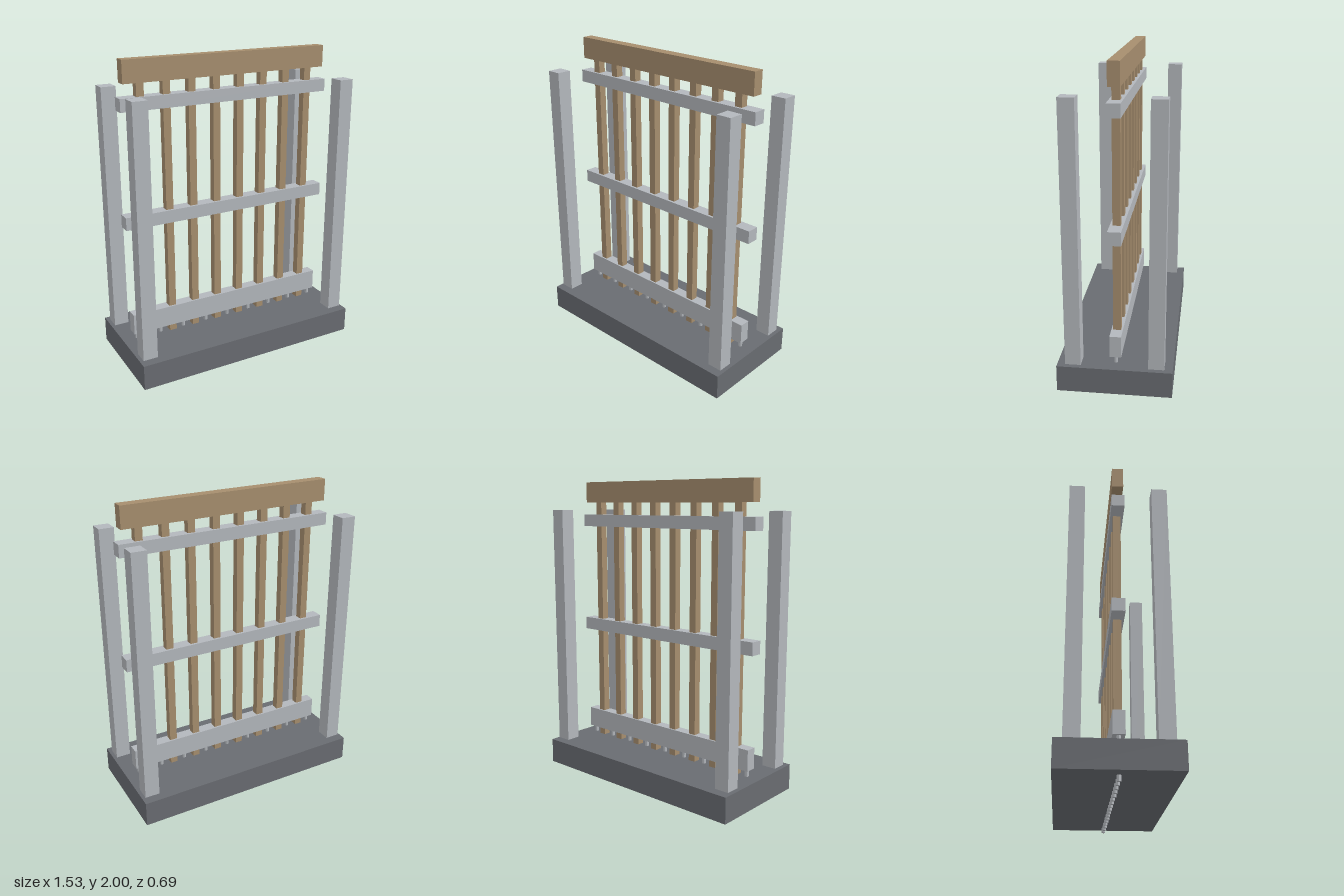
import * as THREE from 'three';

const wood = new THREE.MeshStandardMaterial({ color: 0xa68e6e });
const metal = new THREE.MeshStandardMaterial({ color: 0xb3b7bc });
const stone = new THREE.MeshStandardMaterial({ color: 0x696c71 });
const spikeMetal = new THREE.MeshStandardMaterial({ color: 0xb3b7bc, flatShading: true });

export function createModel() {
  const model = new THREE.Group();
  model.name = 'portcullis';

  // Box given by its width, vertical range, depth and centre
  function box(name, material, width, y0, y1, depth, x = 0, z = 0) {
    const mesh = new THREE.Mesh(new THREE.BoxGeometry(width, y1 - y0, depth), material);
    mesh.position.set(x, (y0 + y1) / 2, z);
    mesh.name = name;
    model.add(mesh);
  }

  // Threshold slab
  box('base', stone, 1.535, 0.034, 0.199, 0.695);

  // Four guide posts, a pair at each end
  for (const x of [-0.7, 0.7]) {
    for (const z of [-0.25, 0.25]) box('guidePost', metal, 0.095, 0.206, 1.812, 0.095, x, z);
  }

  // Gate: top beam, vertical bars, horizontal straps
  box('topBeam', wood, 1.395, 1.862, 2, 0.07);
  for (let i = 0; i < 8; i++) {
    box('verticalBar', wood, 0.048, 0.19, 1.88, 0.048, (i - 3.5) * 0.168);
  }
  box('upperRail', metal, 1.44, 1.7, 1.78, 0.08);
  box('middleRail', metal, 1.44, 0.97, 1.053, 0.08);
  box('bottomRail', metal, 1.4, 0.245, 0.381, 0.07);

  // Row of spikes passing down through the slab
  const spikeGeometry = new THREE.CylinderGeometry(0.0135, 0.012, 0.26, 8);
  for (let i = 0; i < 17; i++) {
    const spike = new THREE.Mesh(spikeGeometry, spikeMetal);
    spike.position.set((i - 8) * 0.084, 0.13, 0);
    spike.name = 'spike';
    model.add(spike);
  }

  return model;
}
